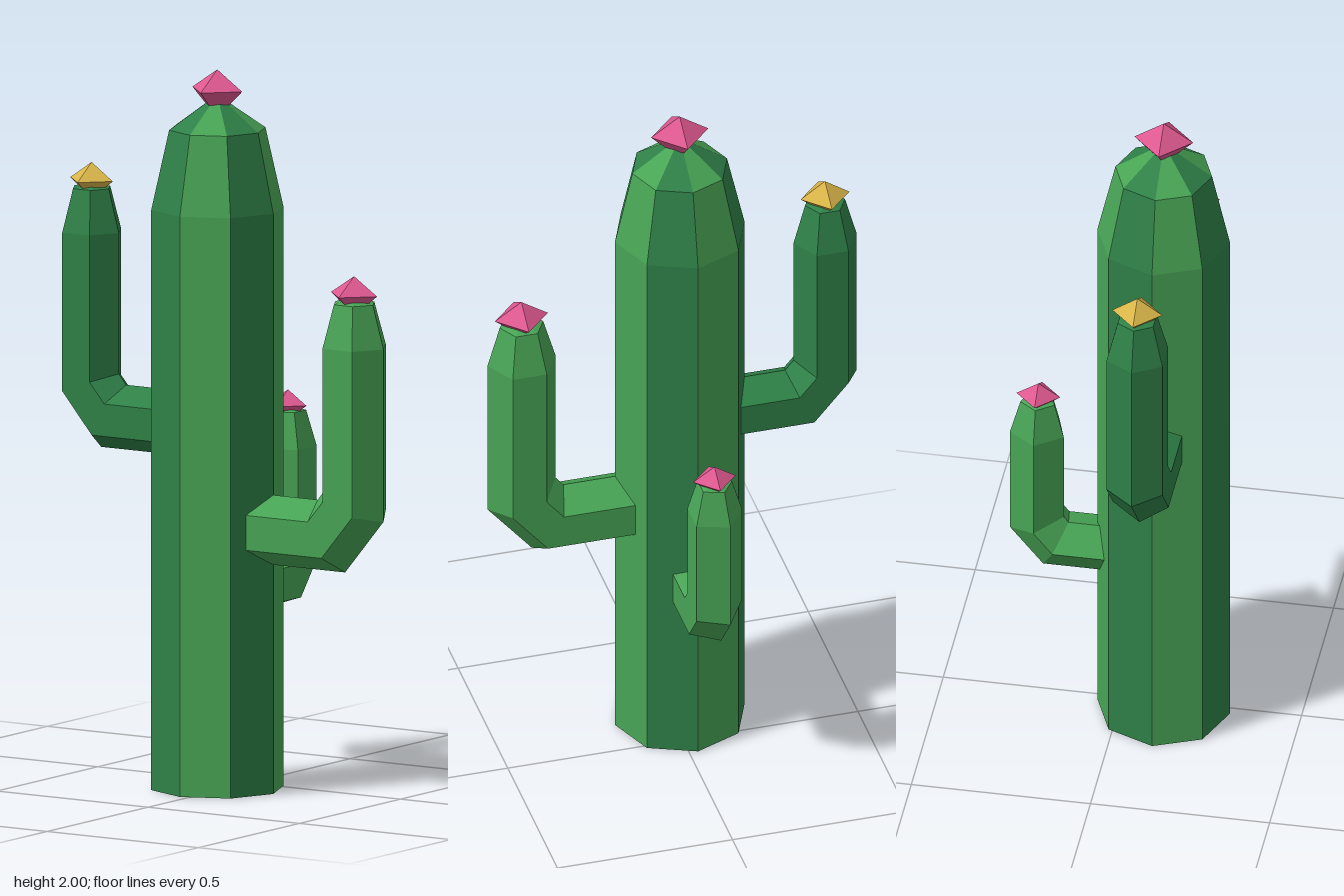
import * as THREE from 'three';
import { mergeGeometries } from 'three/addons/utils/BufferGeometryUtils.js';

const material = (name, color) => {
  const m = new THREE.MeshStandardMaterial({ color, flatShading: true, side: THREE.DoubleSide });
  m.name = name;
  return m;
};

const faceted = (geometry) => {
  const g = geometry.index ? geometry.toNonIndexed() : geometry;
  g.computeVertexNormals();
  return g;
};

const profile = (pairs) => pairs.map(([r, y]) => new THREE.Vector2(r, y));

// Bent stem: rings of [outward, height, radius], mitred at the bends
function stemGeometry(rings, sides, dir, phase) {
  const side = dir.clone().cross(new THREE.Vector3(0, 1, 0));
  const centres = rings.map(([u, y]) => new THREE.Vector2(u, y));
  const positions = [];
  const index = [];
  rings.forEach(([u, y, r], i) => {
    const last = rings.length - 1;
    const before = centres[Math.max(i, 1)].clone().sub(centres[Math.max(i, 1) - 1]).normalize();
    const k = Math.min(i, last - 1);
    const after = centres[k + 1].clone().sub(centres[k]).normalize();
    const t = before.clone().add(after).normalize();
    const mitre = 1 / t.dot(after);
    for (let j = 0; j < sides; j++) {
      const a = phase + (j / sides) * Math.PI * 2;
      const n = r * Math.cos(a) * mitre;
      const p = dir.clone().multiplyScalar(u - t.y * n).addScaledVector(side, r * Math.sin(a));
      positions.push(p.x, y + t.x * n, p.z);
      if (i < last) {
        const b = i * sides + j;
        const c = i * sides + ((j + 1) % sides);
        index.push(b, c, c + sides);
        if (rings[i + 1][2] > 0) index.push(b, c + sides, b + sides);
        else index.splice(-3, 3, b, c, b + sides);
      }
    }
  });
  const g = new THREE.BufferGeometry();
  g.setAttribute('position', new THREE.Float32BufferAttribute(positions, 3));
  g.setIndex(index);
  return faceted(g);
}

export function createModel() {
  const model = new THREE.Group();
  model.name = 'cactus';
  const darkGreen = material('dark green', 0x2f8148);
  const lightGreen = material('light green', 0x48a455);
  const pink = material('pink', 0xdd588f);
  const yellow = material('yellow', 0xd9b549);

  const add = (name, geometry, mat, x = 0, y = 0, z = 0) => {
    const mesh = new THREE.Mesh(geometry, mat);
    mesh.name = name;
    mesh.position.set(x, y, z);
    model.add(mesh);
  };

  // Four-sided flower bud
  const flower = (name, mat, r, bottom, middle, top, x, z) =>
    add(name, faceted(new THREE.LatheGeometry(
      profile([[0, bottom], [r * 0.5, bottom], [r, middle], [0, top]]), 4)), mat, x, 0, z);

  // Eight-sided trunk, open below, with ribs in alternating greens
  const cx = -0.025, cz = 0.12;
  const outline = profile([[0.185, 0], [0.185, 1.615], [0.135, 1.835], [0, 1.93]]);
  [lightGreen, darkGreen].forEach((mat, offset) => {
    const ribs = [];
    for (let k = offset; k < 8; k += 2) {
      ribs.push(faceted(new THREE.LatheGeometry(outline, 1, (k * Math.PI) / 4, Math.PI / 4)));
    }
    add(offset ? 'trunkDarkRibs' : 'trunkLightRibs', mergeGeometries(ribs), mat, cx, 0, cz);
  });
  flower('trunkFlower', pink, 0.082, 1.905, 1.945, 2.0, cx, cz);

  // Left arm
  add('leftArm', stemGeometry([
    [0.1, 0.735, 0.097], [0.352, 0.735, 0.097], [0.427, 0.825, 0.097],
    [0.427, 1.27, 0.097], [0.427, 1.39, 0.062], [0.427, 1.41, 0],
  ], 6, new THREE.Vector3(1, 0, 0), 0), lightGreen, 0, 0, cz);
  flower('leftFlower', pink, 0.076, 1.385, 1.415, 1.465, 0.427, cz);

  // Right arm
  add('rightArm', stemGeometry([
    [0.14, 1.005, 0.09], [0.367, 1.005, 0.09], [0.44, 1.09, 0.09],
    [0.44, 1.515, 0.09], [0.44, 1.635, 0.057], [0.44, 1.65, 0],
  ], 6, new THREE.Vector3(-1, 0, 0), 0), darkGreen, 0, 0, cz);
  flower('rightFlower', yellow, 0.07, 1.63, 1.657, 1.705, -0.44, cz);

  // Small five-sided back arm
  add('backArm', stemGeometry([
    [0.02, 0.54, 0.079], [0.177, 0.54, 0.079], [0.23, 0.605, 0.079],
    [0.23, 0.905, 0.079], [0.23, 1.005, 0.05], [0.23, 1.02, 0],
  ], 5, new THREE.Vector3(0, 0, -1), -Math.PI / 2), lightGreen, cx, 0, 0);
  flower('backFlower', pink, 0.061, 1.0, 1.022, 1.062, cx, -0.23);

  return model;
}
